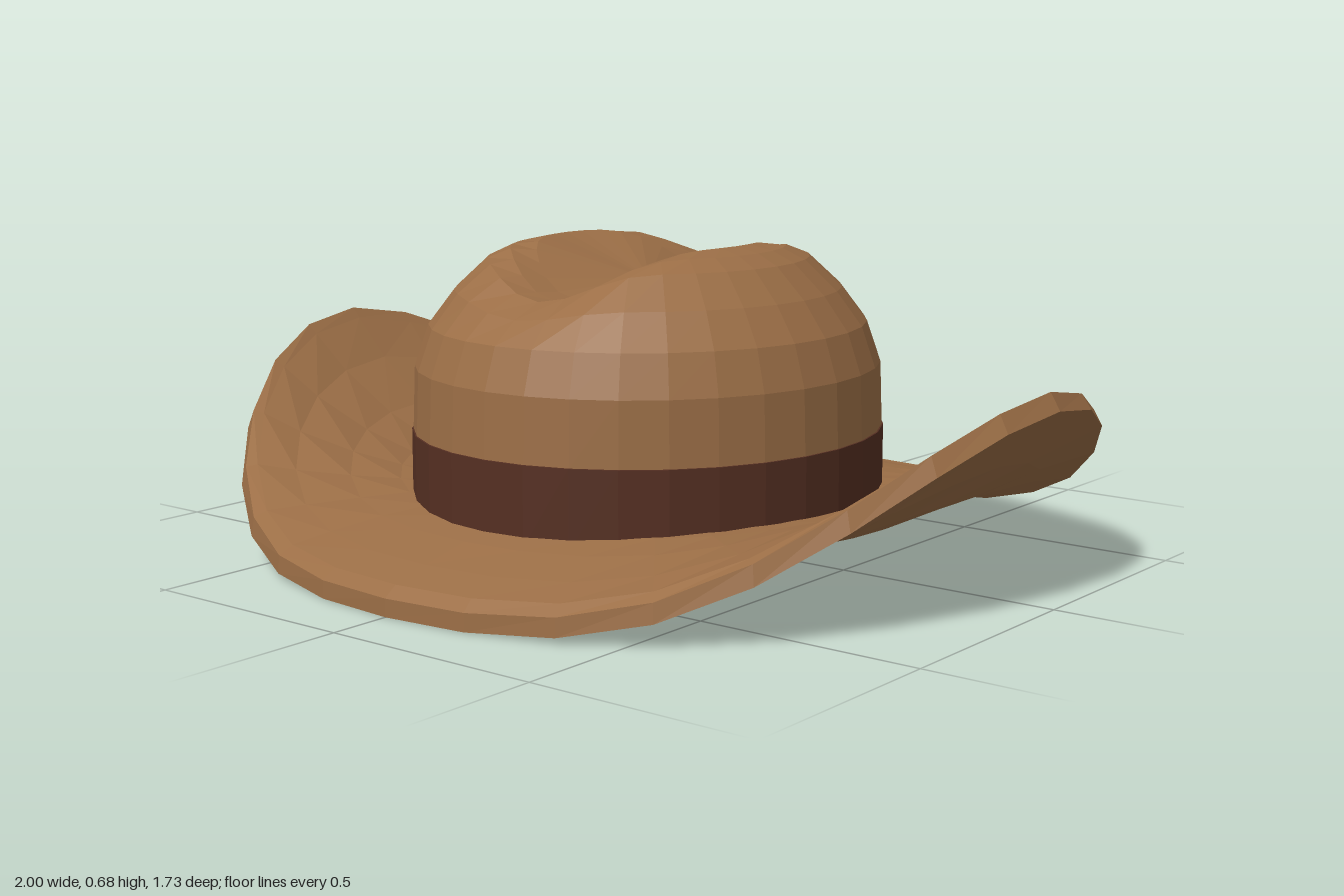
import * as THREE from 'three';

const SEGMENTS = 32;
const CROWN_Z = 0.035;

// Skin a profile around the y axis; rule(profilePoint, cos, sin) gives [x, y, z]
function loft(profile, rule) {
  const positions = [], index = [];
  for (const p of profile)
    for (let j = 0; j < SEGMENTS; j++) {
      const a = (j / SEGMENTS) * Math.PI * 2;
      positions.push(...rule(p, Math.cos(a), Math.sin(a)));
    }
  for (let i = 0; i < profile.length - 1; i++)
    for (let j = 0; j < SEGMENTS; j++) {
      const k = (j + 1) % SEGMENTS;
      const a = i * SEGMENTS + j, b = i * SEGMENTS + k;
      const c = a + SEGMENTS, d = b + SEGMENTS;
      if (profile[i + 1][0] > 0) index.push(c, d, b);
      if (profile[i][0] > 0) index.push(a, c, b);
    }
  const geometry = new THREE.BufferGeometry();
  geometry.setAttribute('position', new THREE.Float32BufferAttribute(positions, 3));
  geometry.setIndex(index);
  geometry.computeVertexNormals();
  return geometry;
}

// Brim curls up at the sides and dips at front and back, levelling out sooner behind
function brimRule([s, lift, tuck = 0], c, n) {
  const r = s - tuck * c * c;
  const t = Math.pow(Math.max(0, (r - 0.5) / 0.5), 1.7);
  const dip = 0.083 * Math.min(1, t * (1 + 0.5 * Math.max(0, -n)));
  const curl = 0.75 * c ** 4 + 0.25 * THREE.MathUtils.smoothstep(c * c, 0, 1);
  return [r * c, 0.085 - dip + t * 0.4 * curl + lift + tuck * c ** 4, 0.863 * r * n];
}

// Crown is slightly longer than wide, with a crease running front to back
function crownRule([r, y], c, n) {
  const x = r * c;
  const fade = THREE.MathUtils.clamp((0.47 - r) / 0.2, 0, 1);
  const dent = 0.105 * Math.cos(Math.min(1, Math.abs(x) / 0.24) * Math.PI / 2) ** 2 * fade;
  return [x, y - dent, CROWN_Z + 1.07 * r * n];
}

// Five-pointed star raised to a central peak, facing the back
function starGeometry() {
  const geometry = new THREE.ConeGeometry(0.105, 0.06, 10);
  const pos = geometry.attributes.position;
  for (let i = 0; i < pos.count; i++) {
    const x = pos.getX(i), z = pos.getZ(i);
    const step = Math.round(Math.atan2(x, z) / (Math.PI / 5));
    if (step % 2 !== 0) {
      pos.setX(i, x * 0.45);
      pos.setZ(i, z * 0.45);
    }
  }
  return geometry.rotateX(-Math.PI / 2);
}

export function createModel() {
  const hat = new THREE.Group();
  hat.name = 'hat';
  const add = (name, geometry, color) => {
    const material = new THREE.MeshStandardMaterial({ color, flatShading: true });
    const mesh = new THREE.Mesh(geometry, material);
    mesh.name = name;
    hat.add(mesh);
    return mesh;
  };
  const felt = 0x9b6e46;

  // Shallow hollow underneath, out to the bevelled edge, then the top back in
  add('brim', loft([
    [0, 0.115], [0.6, 0], [0.74, 0], [0.87, 0], [1, 0],
    [1, 0.038, 0.022], [0.965, 0.05, 0.008],
    [0.87, 0.05], [0.74, 0.05], [0.62, 0.05], [0.5, 0.05],
  ], brimRule), felt);

  add('crown', loft([
    [0.503, 0.25], [0.505, 0.27], [0.5, 0.41], [0.47, 0.5], [0.415, 0.575],
    [0.345, 0.642], [0.295, 0.666], [0.24, 0.678], [0, 0.695],
  ], crownRule), felt);

  add('hatBand', loft([[0.508, 0.1], [0.508, 0.27], [0.495, 0.272]], crownRule), 0x552f22);

  add('star', starGeometry(), 0xc89b2a).position.set(0, 0.2, -0.532);

  return hat;
}
